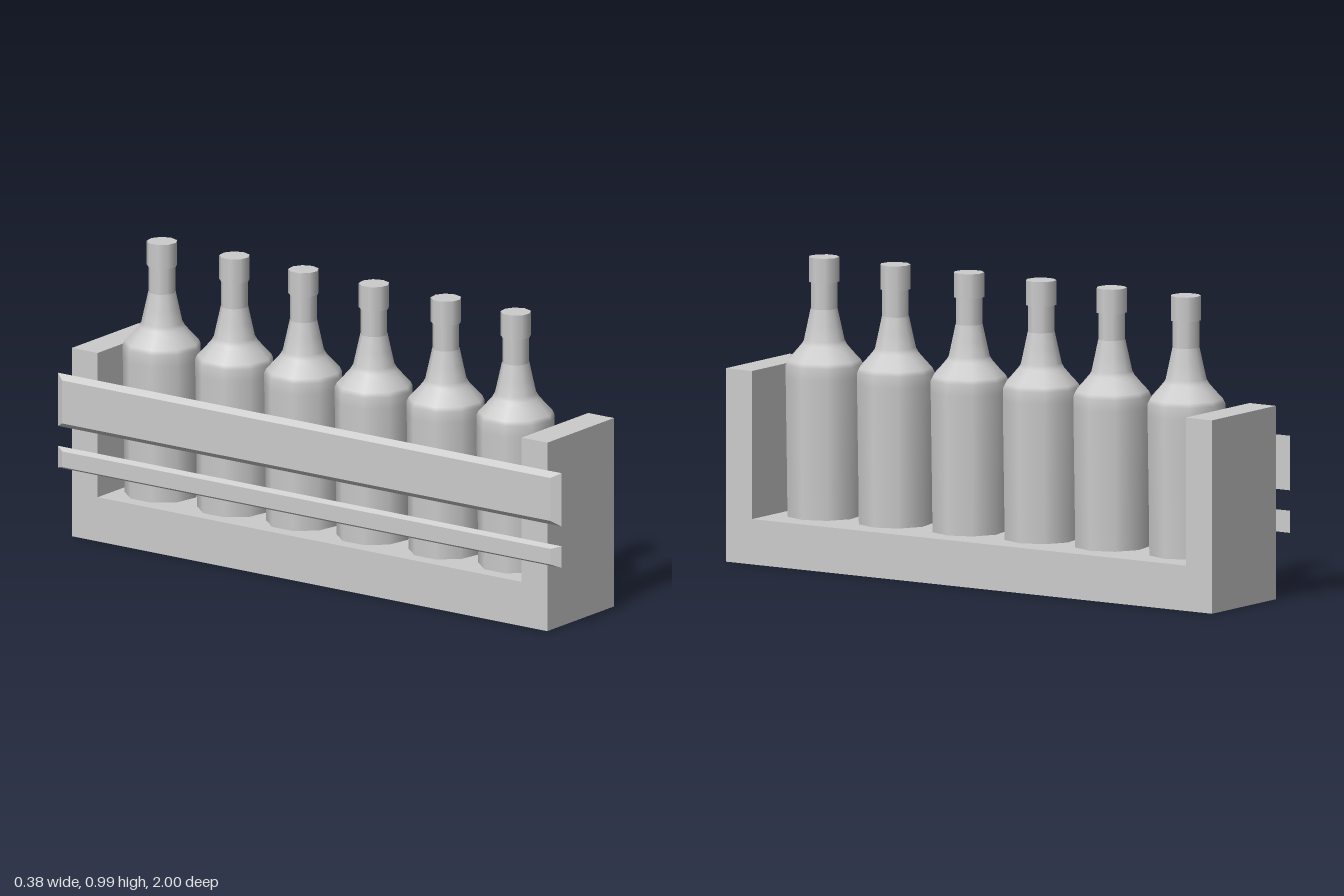
import * as THREE from 'three';

const grey = new THREE.MeshStandardMaterial({ color: 0xcccccc });
const greyOpen = new THREE.MeshStandardMaterial({ color: 0xcccccc, side: THREE.DoubleSide });
const SIDES = 9;

function add(parent, name, geometry, material = grey) {
  const mesh = new THREE.Mesh(geometry, material);
  mesh.name = name;
  parent.add(mesh);
  return mesh;
}

// Nine-sided turned part with a corner towards +x
function turned(points) {
  const profile = points.map(([r, y]) => new THREE.Vector2(r, y));
  return new THREE.LatheGeometry(profile, SIDES, Math.PI / 2);
}

function closedCylinder(rTop, rBottom, y0, y1) {
  const g = new THREE.CylinderGeometry(rTop, rBottom, y1 - y0, SIDES, 1, false, Math.PI / 2);
  return g.translate(0, (y0 + y1) / 2, 0);
}

// U-shaped tray: base with a raised block at each end
function trayGeometry() {
  const end = 0.944, inner = 0.842, base = 0.147, top = 0.627, x0 = -0.173, x1 = 0.188;
  const shape = new THREE.Shape([
    [-end, 0], [end, 0], [end, top], [inner, top],
    [inner, base], [-inner, base], [-inner, top], [-end, top],
  ].map(([z, y]) => new THREE.Vector2(z, y)));
  const g = new THREE.ExtrudeGeometry(shape, { depth: x1 - x0, bevelEnabled: false });
  return g.rotateY(-Math.PI / 2).translate(x1, 0, 0);
}

// Rail whose outer (-x) face is inset on all four edges
function railGeometry(y0, y1, inset) {
  const g = new THREE.BoxGeometry(0.018, y1 - y0, 2);
  const p = g.attributes.position;
  for (let i = 0; i < p.count; i++) {
    if (p.getX(i) < 0) {
      p.setY(i, p.getY(i) - Math.sign(p.getY(i)) * inset);
      p.setZ(i, p.getZ(i) - Math.sign(p.getZ(i)) * 0.03);
    }
  }
  g.computeVertexNormals();
  return g.translate(-0.182, (y0 + y1) / 2, 0);
}

export function createModel() {
  const model = new THREE.Group();
  model.name = 'bottleRack';

  add(model, 'tray', trayGeometry());
  add(model, 'upperRail', railGeometry(0.358, 0.535, 0.017));
  add(model, 'lowerRail', railGeometry(0.22, 0.292, 0.01));

  // Bottle parts, shared by all six bottles
  const body = turned([
    [0.121, 0.146], [0.122, 0.25], [0.127, 0.6], [0.127, 0.638], [0.12, 0.652],
    [0.094, 0.68], [0.075, 0.702], [0.067, 0.716], [0.056, 0.765], [0.0445, 0.818],
  ]);
  const neck = closedCylinder(0.0435, 0.0435, 0.815, 0.907);
  const cap = closedCylinder(0.0495, 0.0495, 0.905, 0.985);

  [-0.706, -0.418, -0.144, 0.136, 0.422, 0.699].forEach((z, i) => {
    const bottle = new THREE.Group();
    bottle.name = `bottle${i + 1}`;
    add(bottle, 'body', body, greyOpen);
    add(bottle, 'neck', neck);
    add(bottle, 'cap', cap);
    bottle.position.set(-0.01, 0, z);
    model.add(bottle);
  });

  return model;
}
